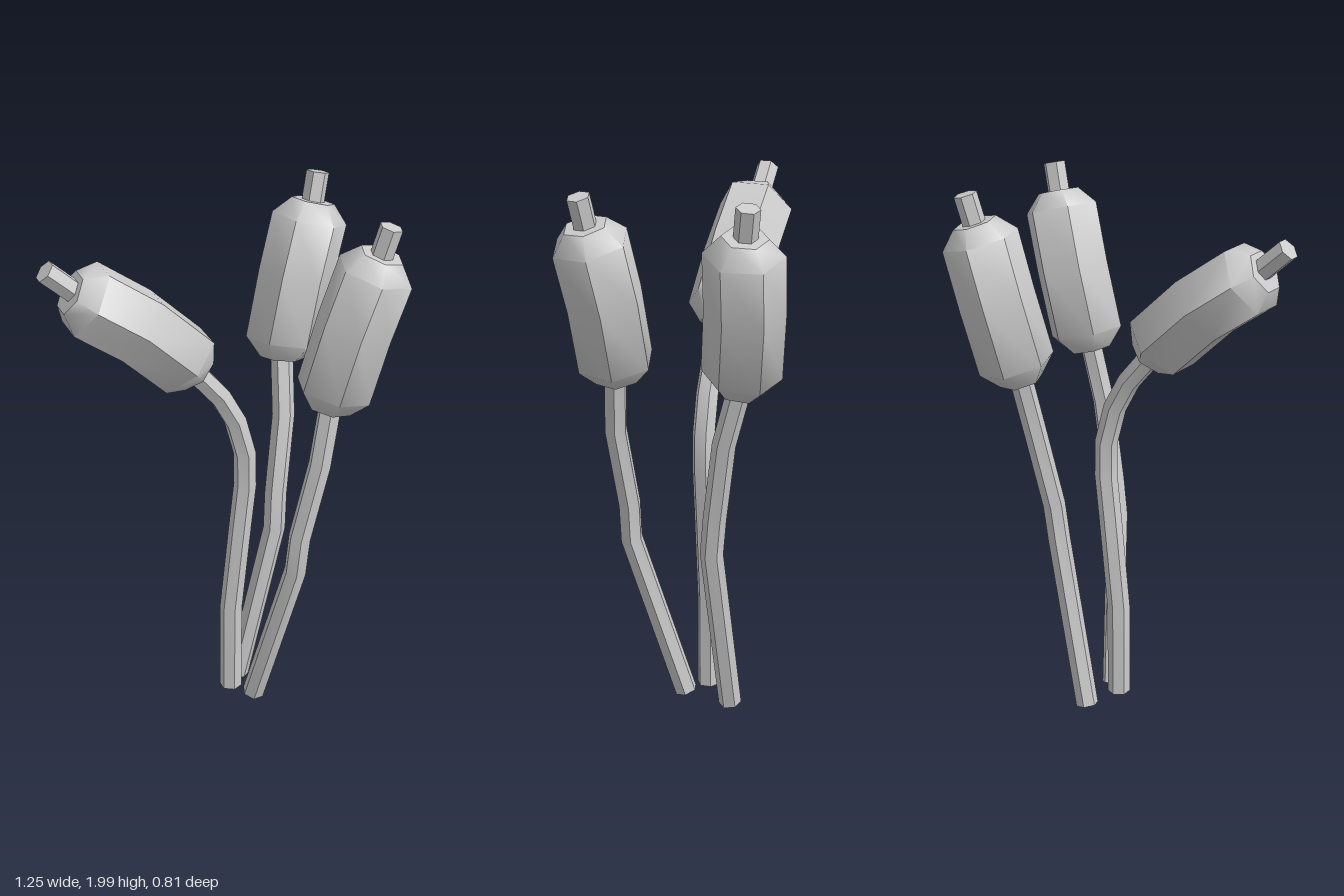
import * as THREE from 'three';
import { toCreasedNormals } from 'three/addons/utils/BufferGeometryUtils.js';

const SIDES = 6;
const UP = new THREE.Vector3(0, 1, 0);

// Closed six-sided tube through path points, one radius per point
function sweep(path, radii, turn) {
  const pts = path.map(p => new THREE.Vector3(...p));
  const n = pts.length;
  const positions = [], index = [];
  pts.forEach((p, i) => {
    const dir = (a, b) => pts[b].clone().sub(pts[a]).normalize();
    const tangent = new THREE.Vector3();
    if (i > 0) tangent.add(dir(i - 1, i));
    if (i < n - 1) tangent.add(dir(i, i + 1));
    const q = new THREE.Quaternion().setFromUnitVectors(UP, tangent.normalize());
    for (let k = 0; k < SIDES; k++) {
      const a = turn + (k / SIDES) * Math.PI * 2;
      const v = new THREE.Vector3(Math.cos(a), 0, Math.sin(a))
        .multiplyScalar(radii[i]).applyQuaternion(q).add(p);
      positions.push(v.x, v.y, v.z);
    }
  });
  for (let i = 0; i < n - 1; i++) {
    for (let k = 0; k < SIDES; k++) {
      const k2 = (k + 1) % SIDES;
      const a = i * SIDES + k, b = a + SIDES;
      const c = (i + 1) * SIDES + k2, d = i * SIDES + k2;
      index.push(a, b, c, a, c, d);
    }
  }
  // End caps
  const top = (n - 1) * SIDES;
  for (let k = 1; k < SIDES - 1; k++) {
    index.push(0, k, k + 1, top, top + k + 1, top + k);
  }
  const geo = new THREE.BufferGeometry();
  geo.setAttribute('position', new THREE.Float32BufferAttribute(positions, 3));
  geo.setIndex(index);
  return toCreasedNormals(geo, 0.85);
}

const STEM_R = 0.042, HEAD_R = 0.14, CAP_R = 0.08;

const reeds = [
  { // bends over to the right
    name: 'bentReed', turn: Math.PI / 6,
    stem: [[0.077, 0.045, 0], [0.077, 0.4, 0], [0.112, 0.75, 0], [0.13, 0.92, 0], [0.128, 1.05, 0],
      [0.09, 1.19, 0], [0.03, 1.3, 0], [-0.08, 1.43, 0]],
    head: [[-0.063, 1.41, 0], [-0.107, 1.465, 0], [-0.28, 1.628, 0], [-0.46, 1.755, 0], [-0.515, 1.788, 0]],
    tip: [[-0.48, 1.77, 0], [-0.602, 1.878, 0]],
  },
  { // front reed
    name: 'frontReed', turn: -Math.PI / 12,
    stem: [[0.145, 0.035, 0.065], [0.235, 0.66, 0.24], [0.25, 0.8, 0.24], [0.31, 1.1, 0.265],
      [0.355, 1.33, 0.245]],
    head: [[0.352, 1.305, 0.238], [0.367, 1.37, 0.238], [0.435, 1.61, 0.248], [0.497, 1.82, 0.272],
      [0.515, 1.882, 0.28]],
    tip: [[0.505, 1.85, 0.277], [0.54, 1.985, 0.293]],
  },
  { // back reed
    name: 'backReed', turn: Math.PI / 12,
    stem: [[0.15, 0.015, -0.11], [0.285, 0.66, -0.085], [0.295, 0.8, -0.1], [0.342, 1.1, -0.15],
      [0.358, 1.33, -0.215]],
    head: [[0.355, 1.305, -0.208], [0.366, 1.37, -0.222], [0.425, 1.61, -0.252], [0.48, 1.82, -0.266],
      [0.497, 1.882, -0.275]],
    tip: [[0.49, 1.85, -0.272], [0.52, 1.985, -0.293]],
  },
];

export function createModel() {
  const model = new THREE.Group();
  model.name = 'reeds';
  const material = new THREE.MeshStandardMaterial({ color: 0xcccccc });

  for (const reed of reeds) {
    const group = new THREE.Group();
    group.name = reed.name;
    const add = (name, path, radii) => {
      const mesh = new THREE.Mesh(sweep(path, radii, reed.turn), material);
      mesh.name = name;
      group.add(mesh);
    };
    add('stem', reed.stem, reed.stem.map(() => STEM_R));
    add('seedHead', reed.head, [CAP_R, HEAD_R, HEAD_R, HEAD_R, CAP_R]);
    add('tip', reed.tip, [STEM_R, STEM_R]);
    model.add(group);
  }
  return model;
}
